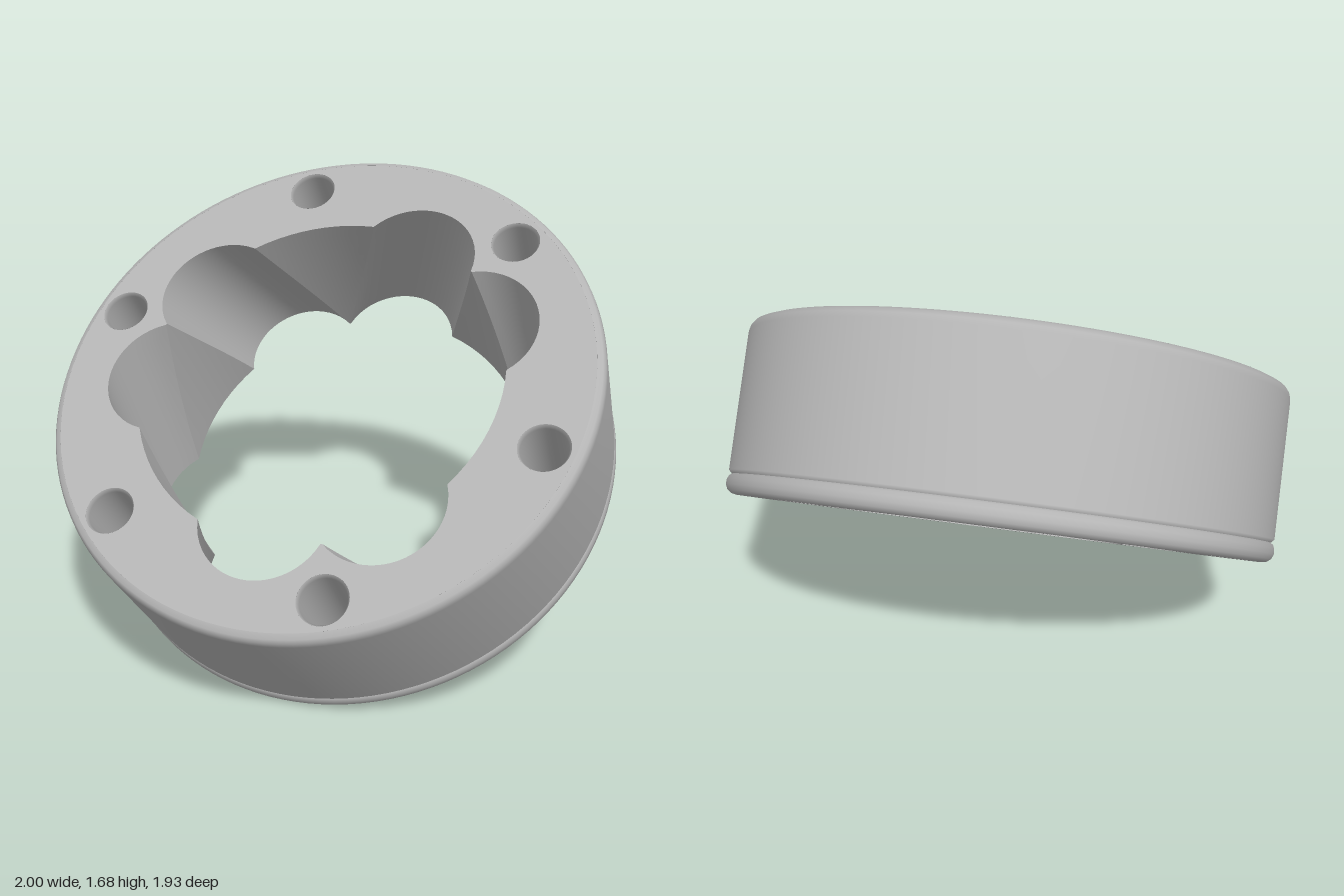
import * as THREE from 'three';

const H = 0.31;          // half height of the ring
const BORE = 0.665;      // plain bore radius
const BALL = 0.231;      // groove cross-section radius
const AXIS = 0.56;       // distance of the groove axes from the centre
const LEAN = 0.1;        // sideways shift of a groove at each end
const BOLT_R = 0.86, HOLE = 0.08, MOUTH = 0.088;
const rad = THREE.MathUtils.degToRad;

// Angle, distance and half width of groove k at height y; grooves lean alternately
function groove(k, y) {
  const off = (k % 2 ? -1 : 1) * LEAN * y / H;
  const d = Math.hypot(AXIS, off);
  return {
    d,
    mid: rad(20 + 60 * k) + Math.atan(off / AXIS),
    half: Math.acos((d * d + BORE * BORE - BALL * BALL) / (2 * d * BORE)),
  };
}

// Polar point on the wall of groove k, u from 0 to 1 across it
function groovePoint(k, u, y) {
  const g = groove(k, y);
  const a = (u * 2 - 1) * g.half;
  const s = g.d * Math.sin(a);
  return [g.mid + a, g.d * Math.cos(a) + Math.sqrt(BALL * BALL - s * s)];
}

// Polar point on the plain land between groove k and the next one
function landPoint(k, u, y) {
  const a = groove(k, y), b = groove(k + 1, y);
  return [THREE.MathUtils.lerp(a.mid + a.half, b.mid - b.half, u), BORE];
}

// Inward-facing wall patch from a polar rule
function wallPatch(rule, k, nu, nv) {
  const pos = [], index = [];
  for (let j = 0; j <= nv; j++) {
    const y = -H + 2 * H * j / nv;
    for (let i = 0; i <= nu; i++) {
      const [t, r] = rule(k, i / nu, y);
      pos.push(r * Math.cos(t), y, -r * Math.sin(t));
      if (i < nu && j < nv) {
        const a = j * (nu + 1) + i, d = a + nu + 1;
        index.push(a + 1, a, d, a + 1, d, d + 1);
      }
    }
  }
  const geo = new THREE.BufferGeometry();
  geo.setAttribute('position', new THREE.Float32BufferAttribute(pos, 3));
  geo.setIndex(index);
  geo.computeVertexNormals();
  return geo;
}

// Flat end face; side is 1 for the top and -1 for the bottom
function endFace(side, outerR) {
  const shape = new THREE.Shape();
  shape.absarc(0, 0, outerR, 0, Math.PI * 2);
  const rim = [];
  for (let k = 0; k < 6; k++) {
    for (const [rule, n] of [[groovePoint, 24], [landPoint, 10]]) {
      for (let i = 0; i < n; i++) {
        const [t, r] = rule(k, i / n, side * H);
        rim.push(new THREE.Vector2(r * Math.cos(t), side * r * Math.sin(t)));
      }
    }
    const a = rad(60 * k - 10);
    const hole = new THREE.Path();
    hole.absarc(BOLT_R * Math.cos(a), side * BOLT_R * Math.sin(a), MOUTH, 0, Math.PI * 2);
    shape.holes.push(hole);
  }
  shape.holes.push(new THREE.Path(rim));
  const geo = new THREE.ShapeGeometry(shape, 48);
  geo.rotateX(-side * Math.PI / 2);
  geo.translate(0, side * H, 0);
  return geo;
}

const lathe = (points, segments) =>
  new THREE.LatheGeometry(points.map(p => new THREE.Vector2(...p)), segments);

export function createModel() {
  const steel = new THREE.MeshStandardMaterial({ color: 0xb4b4b4, side: THREE.DoubleSide });
  steel.name = 'plain grey steel';
  const ring = new THREE.Group();
  ring.name = 'tiltedRing';
  const add = (name, geo) => {
    const mesh = new THREE.Mesh(geo, steel);
    mesh.name = name;
    ring.add(mesh);
    return mesh;
  };

  // Outside wall with a softened top edge, and a rounded bead along the bottom
  add('outerWall', lathe([
    [0.984, -0.238], [0.996, -0.226], [0.997, 0.27], [0.993, 0.289],
    [0.984, 0.302], [0.965, H],
  ], 128));
  add('bottomBead', lathe([
    [0.96, -H], [0.978, -0.306], [0.992, -0.295], [1, -0.277],
    [0.999, -0.258], [0.993, -0.244], [0.984, -0.238],
  ], 128));
  add('topFace', endFace(1, 0.965));
  add('bottomFace', endFace(-1, 0.96));

  for (let k = 0; k < 6; k++) {
    // Leaning ball grooves and the lands between them
    add('ballGroove', wallPatch(groovePoint, k, 24, 12));
    add('boreLand', wallPatch(landPoint, k, 10, 12));

    // Bolt hole with chamfered mouths, wound to face inward
    const hole = add('boltHole', lathe([
      [MOUTH, H], [HOLE, H - 0.015], [HOLE, -H + 0.015], [MOUTH, -H],
    ], 36));
    const a = rad(60 * k - 10);
    hole.position.set(BOLT_R * Math.cos(a), 0, -BOLT_R * Math.sin(a));
  }

  // Lean the ring toward the front and rest it on its lower edge
  ring.rotation.x = rad(37.6);
  ring.position.y = 0.845;
  const model = new THREE.Group();
  model.name = 'grooveRing';
  model.add(ring);
  return model;
}
